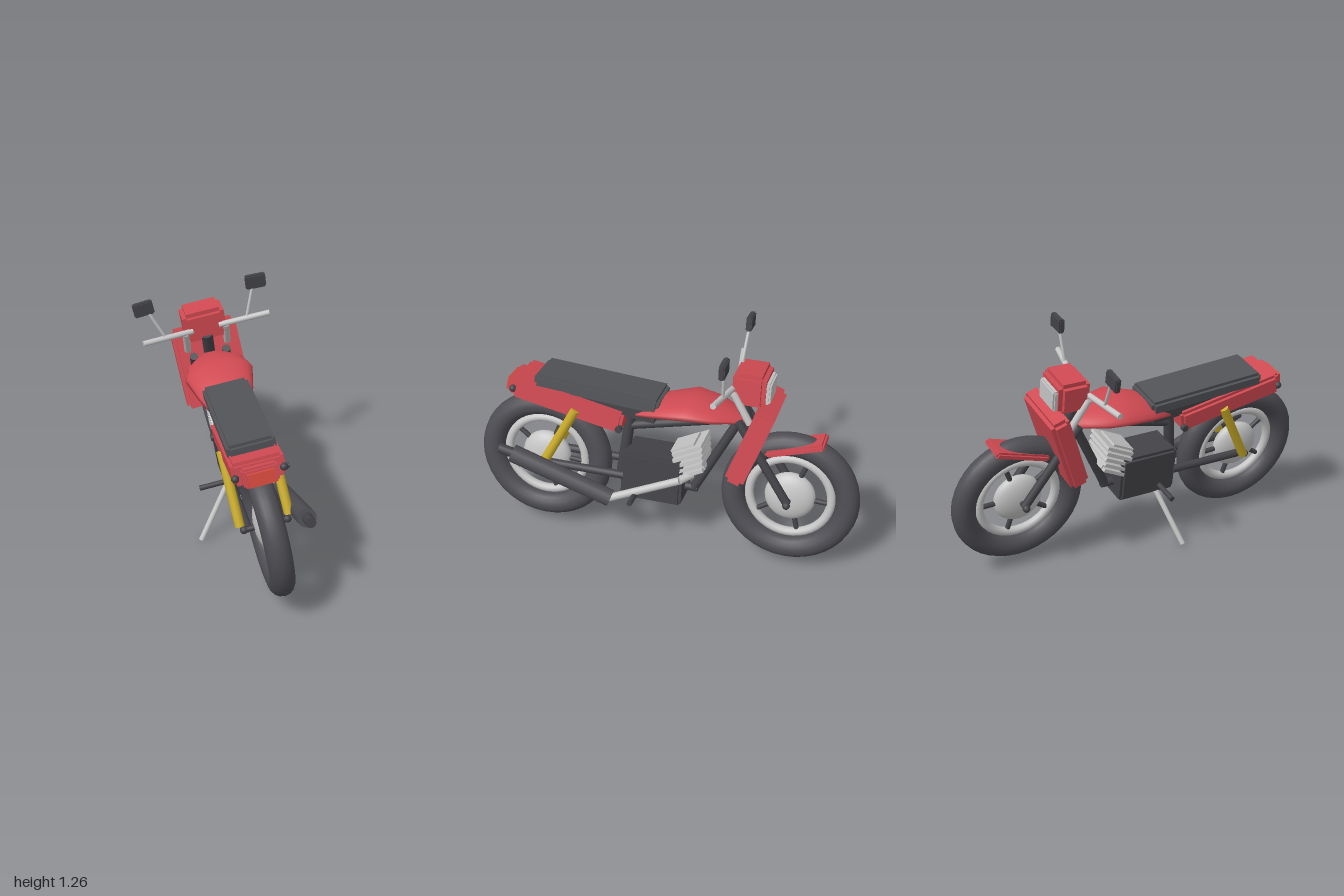
import * as THREE from 'three';
import { mergeGeometries } from 'three/addons/utils/BufferGeometryUtils.js';

const V = (x, y, z) => new THREE.Vector3(x, y, z);

export function createModel() {
  const mat = (name, color, side = THREE.FrontSide) => {
    const m = new THREE.MeshStandardMaterial({ color, side });
    m.name = name;
    return m;
  };
  const red = mat('red paint', 0xd04a52, THREE.DoubleSide);
  const rubber = mat('rubber', 0x4e4d53);
  const dark = mat('dark frame', 0x434348);
  const seatMat = mat('seat grey', 0x525357);
  const silver = mat('silver', 0xc4c4c4);
  const yellow = mat('yellow', 0xc9ab2a);
  const lampRed = mat('lamp red', 0xd64a3e);

  const bike = new THREE.Group();
  bike.name = 'motorbike';

  const add = (name, geo, material, pos = [0, 0, 0], rx = 0) => {
    const m = new THREE.Mesh(geo, material);
    m.name = name;
    m.position.set(...pos);
    m.rotation.x = rx;
    bike.add(m);
    return m;
  };
  // Round bar between two points
  const bar = (name, a, b, r, material, r2 = r) => {
    const p = V(...a), q = V(...b), d = q.clone().sub(p);
    const m = add(name, new THREE.CylinderGeometry(r2, r, d.length(), 16), material);
    m.position.copy(p).add(q).multiplyScalar(0.5);
    m.quaternion.setFromUnitVectors(V(0, 1, 0), d.normalize());
    return m;
  };
  // The same bar on both sides
  const bars = (name, a, b, r, material) => {
    for (const s of [1, -1]) {
      bar((s > 0 ? 'left ' : 'right ') + name, [a[0] * s, a[1], a[2]], [b[0] * s, b[1], b[2]], r, material);
    }
  };
  // Box with stepped edges: three crossed boxes
  const stepped = (w, h, d, b) => mergeGeometries([
    new THREE.BoxGeometry(w, h - 2 * b, d - 2 * b),
    new THREE.BoxGeometry(w - 2 * b, h, d - 2 * b),
    new THREE.BoxGeometry(w - 2 * b, h - 2 * b, d),
  ]);

  // Wheels
  const AXLE = 0.41;
  for (const [label, z] of [['rear', 0.646], ['front', -0.646]]) {
    add(label + ' tyre', new THREE.TorusGeometry(0.292, 0.061, 16, 40).rotateY(Math.PI / 2), rubber, [0, AXLE, z]);
    add(label + ' rim', new THREE.TorusGeometry(0.21, 0.023, 12, 40).rotateY(Math.PI / 2), silver, [0, AXLE, z]);
    add(label + ' hub', new THREE.SphereGeometry(0.13, 28, 18).scale(0.45, 1, 1), silver, [0, AXLE, z]);
    for (let i = 0; i < 5; i++) {
      const a = (-75 + 72 * i) * Math.PI / 180, y = Math.sin(a), dz = -Math.cos(a);
      bar(label + ' spoke', [0, AXLE + y * 0.08, z + dz * 0.08], [0, AXLE + y * 0.21, z + dz * 0.21], 0.013, dark);
    }
    bar(label + ' axle', [-0.11, AXLE, z], [0.11, AXLE, z], 0.014, dark);
    for (const x of [-0.108, 0.108]) add(label + ' axle nut', new THREE.SphereGeometry(0.02, 12, 8), dark, [x, AXLE, z]);
  }

  // Frame, fork and suspension
  bar('spine tube', [0, 0.655, 0.21], [0, 0.8, -0.38], 0.023, dark);
  bar('down tube', [0, 0.83, -0.38], [0, 0.36, -0.15], 0.024, dark);
  bar('lower tube', [0, 0.36, -0.17], [0, 0.36, 0.2], 0.022, dark);
  bar('seat tube', [0, 0.72, 0.2], [0, 0.36, 0.24], 0.028, dark);
  bar('steering head', [0, 0.74, -0.42], [0, 0.95, -0.34], 0.03, dark);
  bars('swing arm', [0.088, 0.41, 0.646], [0.088, 0.41, 0.2], 0.021, dark);
  bars('fork leg', [0.088, 0.82, -0.37], [0.088, AXLE, -0.646], 0.022, dark);
  bars('upper fork', [0.108, 0.98, -0.34], [0.108, 0.83, -0.43], 0.018, silver);
  bars('shock absorber', [0.122, 0.755, 0.455], [0.122, 0.42, 0.625], 0.024, yellow);

  // Handlebar and mirrors
  bars('handlebar', [0.07, 0.99, -0.33], [0.335, 1.01, -0.29], 0.015, silver);
  bars('mirror stem', [0.215, 1.0, -0.31], [0.275, 1.165, -0.32], 0.008, silver);
  for (const s of [1, -1]) {
    const m = add('mirror', stepped(0.105, 0.075, 0.03, 0.006), dark, [0.295 * s, 1.19, -0.322]);
    m.rotation.z = -0.05 * s;
  }

  // Front bodywork
  add('headlight housing', stepped(0.22, 0.165, 0.165, 0.022), red, [0, 0.998, -0.41]);
  add('headlight lens', stepped(0.16, 0.11, 0.04, 0.008), silver, [0, 0.985, -0.495]);
  add('leg shield', stepped(0.352, 0.435, 0.1, 0.02), red, [0, 0.717, -0.447], -0.33);
  add('front fender', stepped(0.15, 0.035, 0.3, 0.01), red, [0, 0.698, -0.655], 0.31);

  // Tank lofted from arched sections: z, half width, edge height, crown height
  const sections = [
    [0.15, 0.1, 0.765, 0.795],
    [0.03, 0.14, 0.79, 0.85],
    [-0.12, 0.175, 0.82, 0.892],
    [-0.24, 0.15, 0.815, 0.87],
    [-0.32, 0.1, 0.805, 0.845],
    [-0.39, 0.05, 0.79, 0.82],
  ];
  const N = 12, pos = [], index = [];
  for (const [z, w, lo, hi] of sections) {
    for (let i = 0; i <= N; i++) {
      const a = Math.PI * i / N;
      pos.push(w * Math.cos(a), lo + (hi - lo) * Math.sin(a), z);
    }
    pos.push(-w * 0.5, lo - 0.008, z, w * 0.5, lo - 0.008, z);
  }
  const M = N + 3;
  for (let j = 0; j < sections.length - 1; j++) {
    for (let i = 0; i < M; i++) {
      const a = j * M + i, b = j * M + (i + 1) % M;
      index.push(a, b, a + M, b, b + M, a + M);
    }
  }
  // End caps
  const last = (sections.length - 1) * M;
  for (let i = 1; i < M - 1; i++) index.push(0, i + 1, i, last, last + i, last + i + 1);
  // Reversed so that the faces look outwards
  for (let i = 0; i < index.length; i += 3) [index[i + 1], index[i + 2]] = [index[i + 2], index[i + 1]];
  const tank = new THREE.BufferGeometry();
  tank.setAttribute('position', new THREE.Float32BufferAttribute(pos, 3));
  tank.setIndex(index);
  tank.computeVertexNormals();
  add('fuel tank', tank, red);

  // Seat and tail
  add('seat', stepped(0.235, 0.075, 0.65, 0.016), seatMat, [0, 0.853, 0.355], -0.065);
  add('seat base', new THREE.BoxGeometry(0.19, 0.06, 0.5), dark, [0, 0.79, 0.3], -0.1);
  add('tail body', stepped(0.252, 0.115, 0.585, 0.016), red, [0, 0.77, 0.5], -0.19);
  add('tail lamp housing', stepped(0.17, 0.095, 0.06, 0.01), red, [0, 0.812, 0.795], -0.19);
  add('tail lamp', new THREE.BoxGeometry(0.13, 0.065, 0.03), lampRed, [0, 0.812, 0.825], -0.19);
  for (const x of [-0.115, 0.115]) {
    add('rear indicator', new THREE.SphereGeometry(0.019, 12, 10), dark, [x, 0.815, 0.79]);
    bar('side bolt', [x, 0.69, 0.225], [x * 1.2, 0.69, 0.225], 0.018, dark);
  }

  // Engine with sloping cooling fins
  add('engine block', stepped(0.21, 0.255, 0.32, 0.015), dark, [0, 0.42, 0.055]);
  add('engine sump', stepped(0.17, 0.05, 0.3, 0.01), dark, [0, 0.305, 0.05]);
  add('cylinder core', new THREE.BoxGeometry(0.14, 0.15, 0.13), silver, [0, 0.55, -0.125], 0.47);
  for (let i = 0; i < 5; i++) {
    add('cooling fin', new THREE.BoxGeometry(0.19, 0.018, 0.165), silver, [0, 0.478 + i * 0.033, -0.135 + i * 0.003], 0.47);
  }

  // Exhaust on one side
  bar('exhaust pipe', [0.07, 0.47, -0.15], [0.125, 0.455, -0.1], 0.02, silver);
  bar('exhaust pipe', [0.125, 0.455, -0.1], [0.152, 0.298, 0.26], 0.02, silver);
  bar('muffler', [0.151, 0.298, 0.25], [0.183, 0.48, 0.77], 0.045, rubber, 0.047);
  bar('muffler tip', [0.183, 0.48, 0.76], [0.186, 0.5, 0.84], 0.026, dark);

  // Foot pegs and side stand
  bar('foot pegs', [-0.24, 0.34, 0.125], [0.24, 0.34, 0.125], 0.014, dark);
  bar('side stand', [-0.1, 0.305, 0.11], [-0.293, 0.064, 0.19], 0.014, silver);

  // Lean onto the side stand
  bike.rotation.z = THREE.MathUtils.degToRad(10);
  bike.position.x = 0.183;
  const model = new THREE.Group();
  model.add(bike);
  return model;
}
